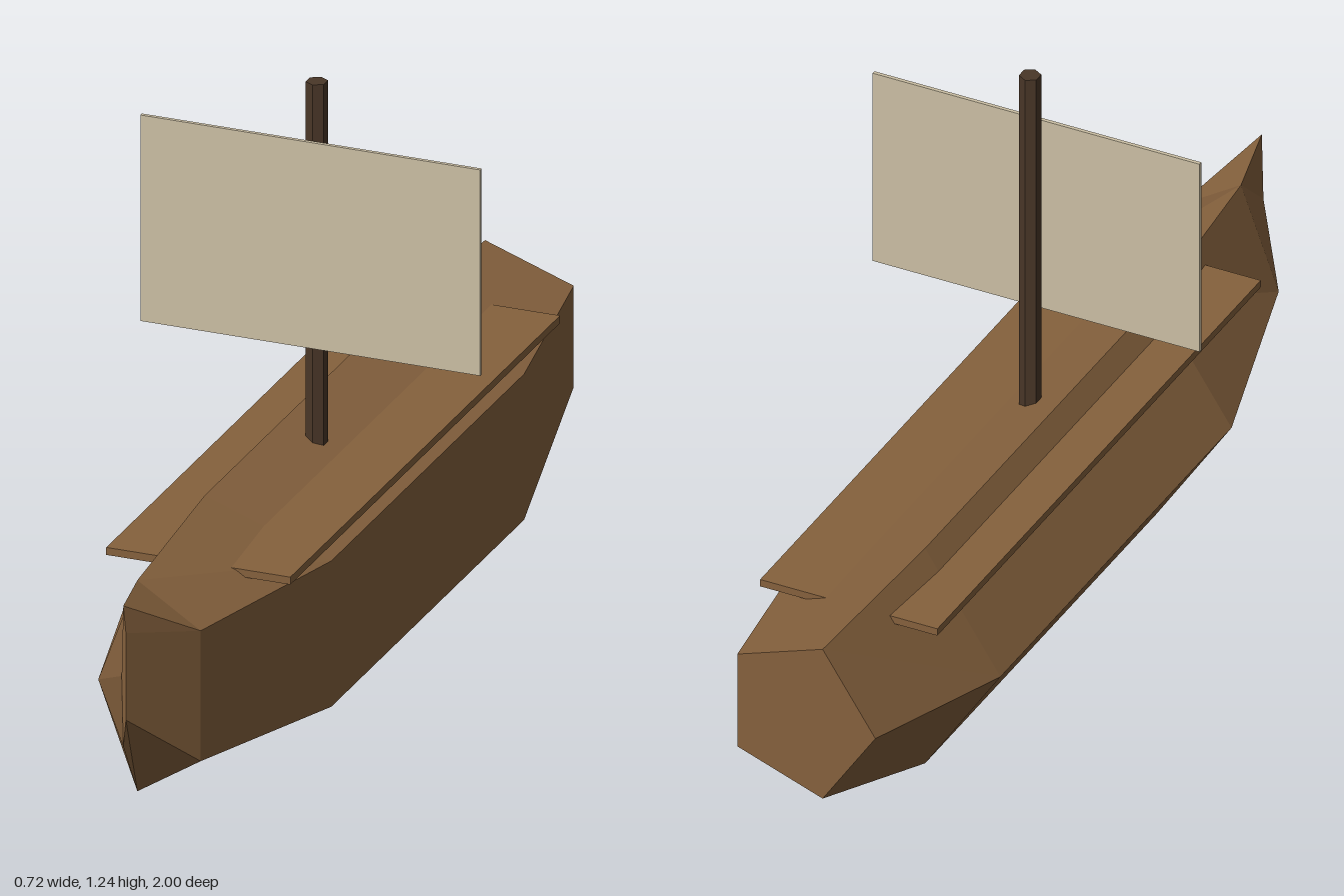
import * as THREE from 'three';

export function createModel() {
  const group = new THREE.Group();
  const wood = new THREE.MeshStandardMaterial({ color: 0x85613d, flatShading: true });
  wood.name = 'wood';
  const darkWood = new THREE.MeshStandardMaterial({ color: 0x4a3728, flatShading: true });
  darkWood.name = 'dark wood';
  const canvas = new THREE.MeshStandardMaterial({ color: 0xcbbfa4, flatShading: true });
  canvas.name = 'canvas';

  const add = (name, geometry, material, x, y, z) => {
    const mesh = new THREE.Mesh(geometry, material);
    mesh.name = name;
    mesh.position.set(x, y, z);
    group.add(mesh);
  };

  // Hull: five-sided cross-sections, stern to bow
  add('hull', hullGeometry([
    // z, centre height, half width, half height
    [-1, 0.32, 0.168, 0.184],
    [-0.6, 0.253, 0.24, 0.265],
    [0.4, 0.253, 0.24, 0.265],
    [0.84, 0.28, 0.12, 0.237],
    [1, 0.37, 0.005, 0.158],
  ]), wood, 0, 0, 0);

  // Deck plank running through the hull, showing as a ledge on each side
  add('deck', new THREE.BoxGeometry(0.39, 0.016, 1.4), wood, 0, 0.452, -0.085);

  // Mast and square sail
  add('mast', new THREE.CylinderGeometry(0.022, 0.022, 0.8, 6), darkWood, 0, 0.843, 0);
  add('sail', new THREE.BoxGeometry(0.72, 0.44, 0.008), canvas, 0, 0.905, 0.03);

  return group;
}

// Skins the sections with flat faces and closes both ends
function hullGeometry(sections) {
  const sides = 5;
  const positions = [];
  const index = [];
  for (const [z, cy, rx, ry] of sections) {
    for (let k = 0; k < sides; k++) {
      const a = Math.PI + (k * 2 * Math.PI) / sides;
      positions.push(rx * Math.cos(a), cy + ry * Math.sin(a), z);
    }
  }
  const last = (sections.length - 1) * sides;
  for (let s = 0; s < last; s += sides) {
    for (let k = 0; k < sides; k++) {
      const n = (k + 1) % sides;
      const a = s + k, b = s + n, c = s + sides + n, d = s + sides + k;
      index.push(a, b, c, a, c, d);
    }
  }
  for (let k = 1; k < sides - 1; k++) {
    index.push(0, k + 1, k); // stern
    index.push(last, last + k, last + k + 1); // bow
  }
  const indexed = new THREE.BufferGeometry();
  indexed.setAttribute('position', new THREE.Float32BufferAttribute(positions, 3));
  indexed.setIndex(index);
  const geometry = indexed.toNonIndexed();
  geometry.computeVertexNormals();
  return geometry;
}
